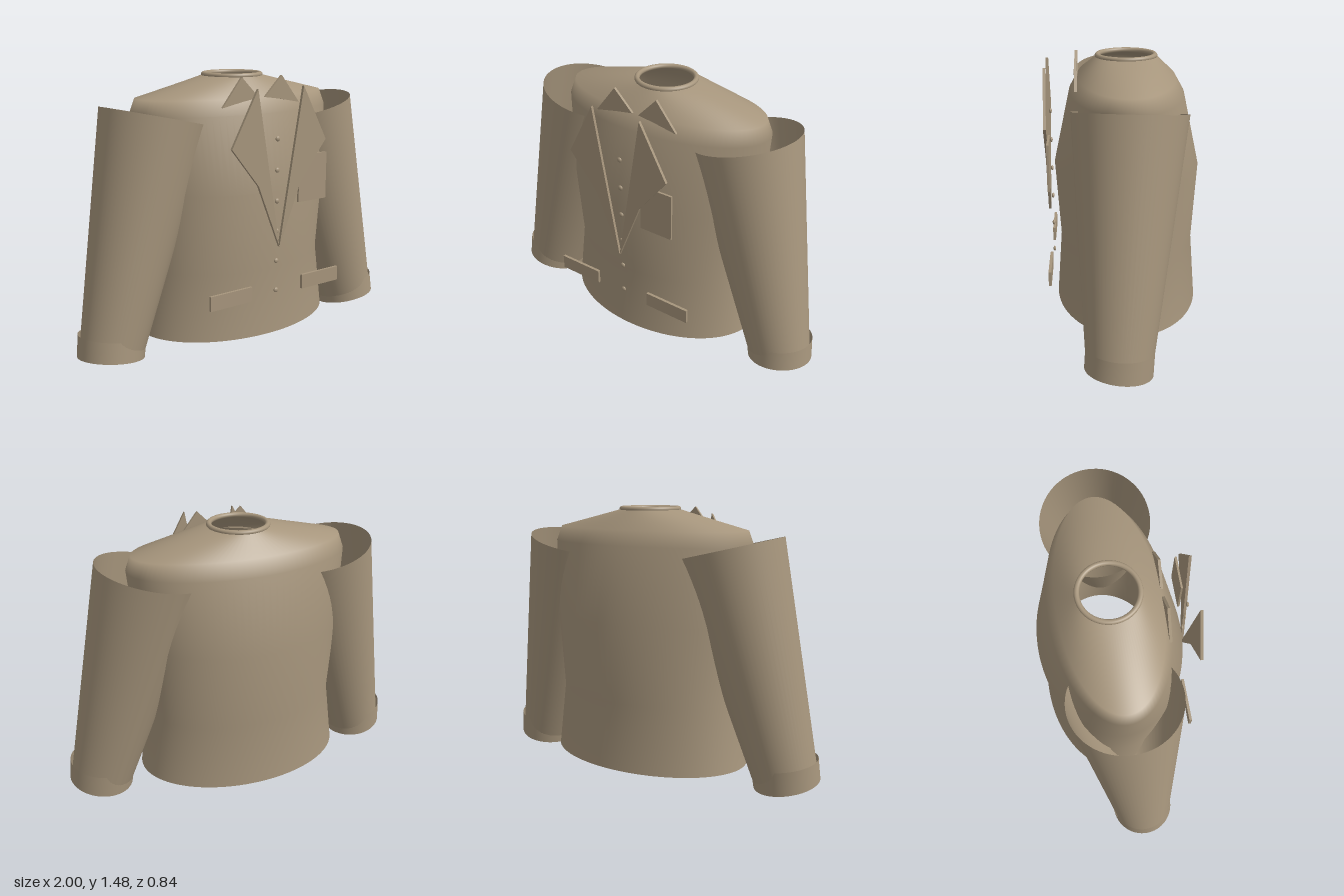
import * as THREE from 'three';

const cloth = new THREE.MeshStandardMaterial({ color: 0xa6957c, side: THREE.DoubleSide });
cloth.name = 'tan cloth';

// Smooth skin over elliptical rings, listed bottom to top: { c: centre, u: x-ward radius, v: z-ward radius }
function loft(rings, sides = 64) {
  const pos = [], idx = [];
  rings.forEach(({ c, u, v }, i) => {
    for (let j = 0; j < sides; j++) {
      const a = (j / sides) * Math.PI * 2, ca = Math.cos(a), sa = Math.sin(a);
      for (let k = 0; k < 3; k++) pos.push(c[k] + u[k] * ca + v[k] * sa);
      if (i === rings.length - 1) continue;
      const p = i * sides + j, q = i * sides + ((j + 1) % sides);
      idx.push(p, p + sides, q, q, p + sides, q + sides);
    }
  });
  const g = new THREE.BufferGeometry();
  g.setAttribute('position', new THREE.Float32BufferAttribute(pos, 3));
  g.setIndex(idx);
  g.computeVertexNormals();
  return g;
}

// Flat panel cut from an outline, mirrored by s
function panel(points, s, z, depth) {
  const shape = new THREE.Shape(points.map(([x, y]) => new THREE.Vector2(s * x, y)));
  return new THREE.ExtrudeGeometry(shape, { depth, bevelEnabled: false }).translate(0, 0, z);
}

export function createModel() {
  const group = new THREE.Group();
  const add = (name, geometry, parent = group) => {
    const m = new THREE.Mesh(geometry, cloth);
    m.name = name;
    parent.add(m);
    return m;
  };

  // Hollow torso, open at hem and neck: height, half width, half depth
  const profile = [
    [0.085, 0.59, 0.397], [0.45, 0.545, 0.37], [0.88, 0.575, 0.397],
    [1.28, 0.617, 0.31], [1.36, 0.59, 0.265], [1.46, 0.165, 0.165],
  ];
  add('torso', loft(profile.map(([y, w, d]) => ({ c: [0, y, -0.02], u: [w, 0, 0], v: [0, 0, d] })), 96));

  // Neck band
  const band = add('neckBand', new THREE.TorusGeometry(0.155, 0.014, 12, 64).rotateX(Math.PI / 2));
  band.position.set(0, 1.464, -0.02);

  for (const s of [1, -1]) {
    const side = s > 0 ? 'left' : 'right';
    const ring = (x, y, z, ux, uy, vy, vz) => ({ c: [s * x, y, z], u: [ux, s * uy, 0], v: [0, vy, vz] });

    // Tapering sleeve, open at the shoulder
    const sleeve = new THREE.Group();
    sleeve.name = side + 'Sleeve';
    group.add(sleeve);
    add(side + 'SleeveTube', loft([
      ring(0.823, 0.045, 0.051, 0.168, 0.026, 0.024, 0.165),
      ring(0.49, 1.268, -0.018, 0.285, 0.067, 0.01, 0.292),
    ]), sleeve);

    // Cuff with closed end
    const end = ring(0.825, 0.037, 0.052, 0.176, 0.026, 0.024, 0.173);
    add(side + 'Cuff', loft([end, ring(0.81, 0.156, 0.044, 0.18, 0.026, 0.015, 0.173)]), sleeve);
    add(side + 'CuffEnd', loft([{ c: end.c, u: [0, 0, 0], v: [0, 0, 0] }, end]), sleeve);

    // Lapel, collar point and hip pocket flap
    add(side + 'Lapel', panel([[0, 0.585], [0.14, 0.93], [0.305, 1.135], [0.147, 1.425]], s, 0.405, 0.015));
    add(side + 'CollarPoint', panel([[0.02, 1.36], [0.12, 1.345], [0.25, 1.32], [0.13, 1.47]], s, 0.243, 0.014));
    add(side + 'PocketFlap', new THREE.BoxGeometry(0.26, 0.08, 0.015)).position.set(s * 0.3, 0.35, 0.402);
  }

  // Breast pocket
  add('breastPocket', new THREE.BoxGeometry(0.19, 0.255, 0.012)).position.set(0.232, 0.933, 0.4);

  // Row of buttons
  for (let i = 0; i < 6; i++) {
    const b = add('button', new THREE.SphereGeometry(0.014, 16, 10));
    b.scale.z = 0.55;
    b.position.set(0, 0.335 + i * 0.165, 0.394);
  }
  return group;
}
